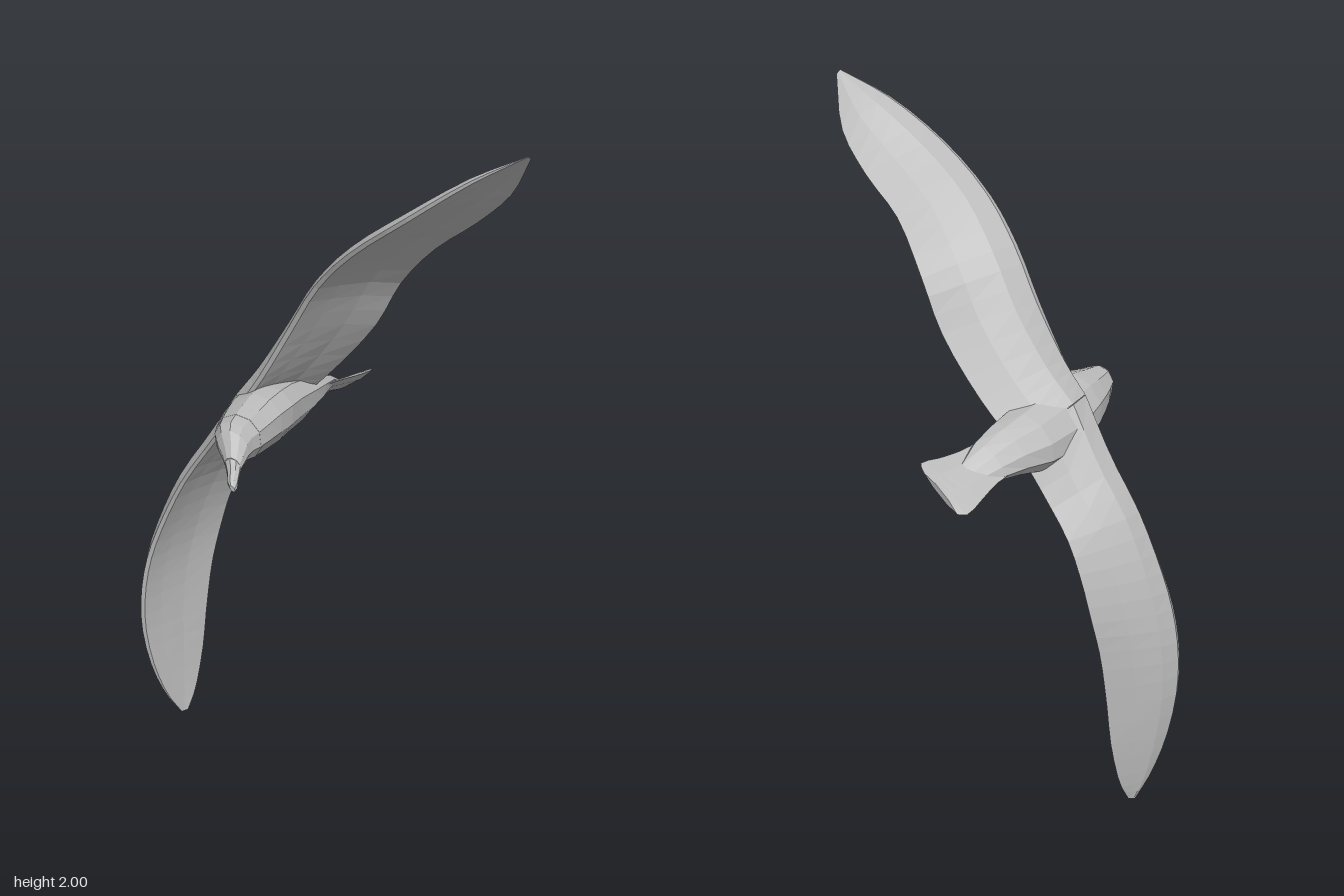
import * as THREE from 'three';

const plumage = new THREE.MeshStandardMaterial({ color: 0xb8b8b8, flatShading: true });
plumage.name = 'plumage grey';

// Skin a list of rings (each counter-clockwise about the direction of travel) and close both ends.
function loft(name, rings) {
  const n = rings[0].length;
  const pos = [];
  const tri = (...pts) => pts.forEach((p) => pos.push(p.x, p.y, p.z));
  for (let i = 0; i < rings.length - 1; i++) {
    for (let j = 0; j < n; j++) {
      const k = (j + 1) % n;
      const [a, b, c, d] = [rings[i][j], rings[i][k], rings[i + 1][k], rings[i + 1][j]];
      tri(a, b, c);
      tri(a, c, d);
    }
  }
  const first = rings[0], last = rings[rings.length - 1];
  for (let j = 1; j < n - 1; j++) {
    tri(first[0], first[j + 1], first[j]);
    tri(last[0], last[j], last[j + 1]);
  }
  const geometry = new THREE.BufferGeometry();
  geometry.setAttribute('position', new THREE.Float32BufferAttribute(pos, 3));
  geometry.computeVertexNormals();
  const mesh = new THREE.Mesh(geometry, plumage);
  mesh.name = name;
  return mesh;
}

// Section of a feathered surface: [chord fraction, offset towards the back], as parts of the chord.
const WING = [[0, 0], [0.04, -0.03], [0.3, 0.005], [0.65, 0.03], [1, 0], [0.65, 0.09], [0.3, 0.13], [0.06, 0.075]];
const TAIL = [[0, 0], [0.3, -0.05], [0.7, -0.05], [1, 0], [0.7, 0.06], [0.3, 0.06]];

// Loft the section between two edge curves; lift(u) swells the upper face where it meets the back.
function blade(name, leadPts, trailPts, section, segments, lift = () => 1) {
  const curve = (pts) => new THREE.CatmullRomCurve3(pts.map((p) => new THREE.Vector3(...p)));
  const lead = curve(leadPts), trail = curve(trailPts);
  const rings = [];
  for (let i = 0; i <= segments; i++) {
    const u = i / segments;
    const a = lead.getPoint(u);
    const chord = trail.getPoint(u).sub(a);
    const span = lead.getTangent(u).add(trail.getTangent(u));
    const up = span.cross(chord).normalize();
    const size = Math.min(chord.length(), 0.28);
    rings.push(section.map(([t, h]) => a.clone().addScaledVector(chord, t)
      .addScaledVector(up, h * size * (h > 0.05 ? lift(u) : 1))));
  }
  return loft(name, rings);
}

// Loft banked ellipses along z: [z, centre x, centre y, half breadth, half depth].
const BANK = 0.7;
function tubeOfEllipses(name, stations, sides) {
  return loft(name, stations.map(([z, cx, cy, breadth, depth]) =>
    Array.from({ length: sides }, (_, j) => {
      const a = ((j + 0.5) / sides) * Math.PI * 2;
      const u = breadth * Math.cos(a), v = depth * Math.sin(a);
      return new THREE.Vector3(
        cx + u * Math.cos(BANK) - v * Math.sin(BANK),
        cy + u * Math.sin(BANK) + v * Math.cos(BANK), z);
    })));
}

export function createModel() {
  const bird = new THREE.Group();
  bird.name = 'bird';

  // Body, from the tail root to the neck
  bird.add(tubeOfEllipses('body', [
    [-0.32, -0.118, 1.058, 0.04, 0.006],
    [-0.25, -0.136, 1.078, 0.066, 0.027],
    [-0.18, -0.152, 1.087, 0.082, 0.05],
    [-0.1, -0.175, 1.092, 0.1, 0.072],
    [0, -0.19, 1.105, 0.112, 0.084],
    [0.08, -0.192, 1.115, 0.112, 0.088],
    [0.15, -0.193, 1.122, 0.1, 0.085],
    [0.21, -0.193, 1.123, 0.083, 0.078],
    [0.26, -0.192, 1.125, 0.068, 0.071],
  ], 10));

  // Head
  bird.add(tubeOfEllipses('head', [
    [0.25, -0.192, 1.124, 0.07, 0.073],
    [0.3, -0.19, 1.128, 0.055, 0.063],
    [0.33, -0.182, 1.125, 0.045, 0.053],
    [0.36, -0.17, 1.107, 0.031, 0.036],
    [0.38, -0.164, 1.093, 0.022, 0.026],
  ], 10));

  // Beak, hooked down at the tip
  bird.add(tubeOfEllipses('beak', [
    [0.375, -0.165, 1.095, 0.023, 0.028],
    [0.4, -0.155, 1.077, 0.018, 0.02],
    [0.425, -0.148, 1.06, 0.013, 0.018],
    [0.437, -0.144, 1.052, 0.006, 0.011],
  ], 8));

  // The two wings share one root section across the back
  const rootLead = [-0.24, 1.165, 0.125], rootTrail = [-0.155, 1.085, -0.13];
  const swell = (d) => 1 + 0.7 * Math.max(0, 1 - 2.2 * d);

  // Raised left wing, root to tip
  bird.add(blade('leftWing', [
    rootLead, [-0.178, 1.26, 0.125], [-0.09, 1.415, 0.135], [0.0, 1.565, 0.165],
    [0.11, 1.685, 0.205], [0.28, 1.815, 0.235], [0.45, 1.93, 0.215], [0.593, 2, 0.175],
  ], [
    rootTrail, [-0.04, 1.2, -0.125], [0.095, 1.365, -0.105], [0.175, 1.51, -0.08],
    [0.295, 1.65, -0.01], [0.42, 1.75, 0.025], [0.525, 1.855, 0.07], [0.598, 1.99, 0.16],
  ], WING, 21, swell));

  // Lowered right wing, tip to root
  bird.add(blade('rightWing', [
    [-0.52, 0.0, -0.05], [-0.55, 0.08, -0.005], [-0.58, 0.2, 0.035], [-0.597, 0.35, 0.06], [-0.59, 0.48, 0.068],
    [-0.565, 0.6, 0.07], [-0.515, 0.73, 0.07], [-0.445, 0.87, 0.075], [-0.35, 1.01, 0.088], rootLead,
  ], [
    [-0.505, 0.002, -0.065], [-0.49, 0.06, -0.092], [-0.472, 0.2, -0.122], [-0.46, 0.35, -0.135], [-0.443, 0.5, -0.148],
    [-0.42, 0.61, -0.16], [-0.385, 0.73, -0.16], [-0.335, 0.84, -0.15], [-0.255, 0.94, -0.13], rootTrail,
  ], WING, 22, (u) => swell(1 - u)));

  // Fanned tail, tilted with the bank of the body
  bird.add(blade('tail', [
    [-0.088, 1.115, -0.2], [-0.062, 1.105, -0.28], [-0.03, 1.1, -0.34], [-0.004, 1.1, -0.395], [-0.03, 1.085, -0.42],
  ], [
    [-0.205, 1.05, -0.2], [-0.183, 1.035, -0.28], [-0.175, 1.01, -0.36], [-0.165, 0.99, -0.42], [-0.145, 0.995, -0.44],
  ], TAIL, 8));

  return bird;
}
